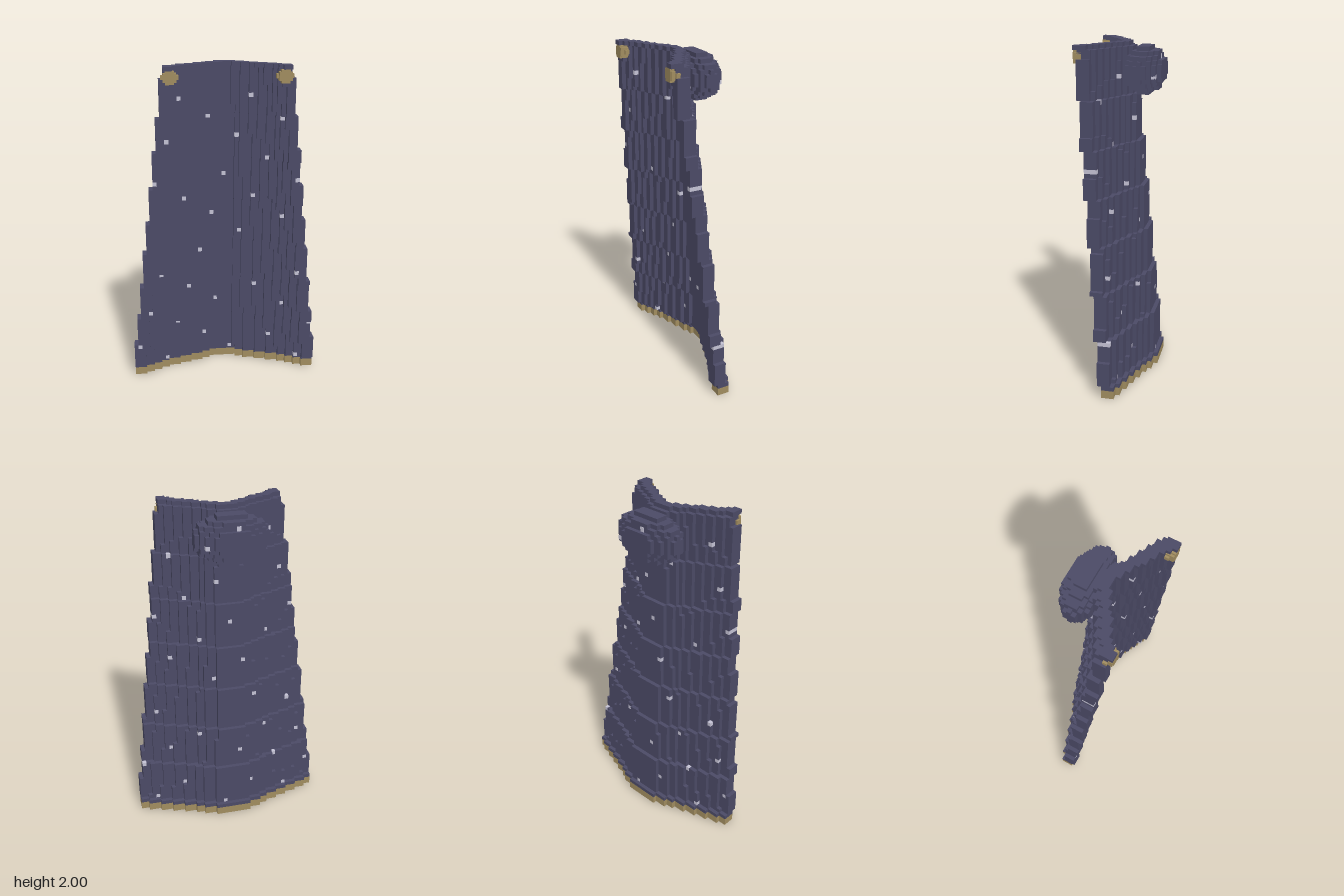
import * as THREE from 'three';
import { mergeGeometries } from 'three/addons/utils/BufferGeometryUtils.js';

const ROWS = 81, V = 2 / ROWS; // block size

// Fractions of the half width at which each face steps one block forward
const BACK_STEPS = [0.19, 0.32, 0.41, 0.53, 0.66, 0.79, 0.91];
const FRONT_STEPS = [0.13, 0.23, 0.37, 0.49, 0.61, 0.71, 0.79, 0.88];
const countSteps = (list, t) => list.filter((s) => t > s).length;

// Box between block coordinates; x runs between block edges
function block(x0, x1, y0, y1, z0, z1) {
  const g = new THREE.BoxGeometry((x1 - x0) * V, (y1 - y0) * V, (z1 - z0) * V);
  return g.translate((x0 + x1) * V / 2, (y0 + y1) * V / 2, (z0 + z1) * V / 2);
}

// Depth range of the cloth in one column and row, or null outside it
function clothSpan(x, y) {
  const a = Math.abs(x);
  if (a > 23 - Math.floor((y + 0.4) / 8.65)) return null;
  const t = a / (23.5 - y / 8.65);
  const back = -9 + Math.floor((y + 8) / 11); // leans forward going up
  return [back + countSteps(BACK_STEPS, t), back + 2 + countSteps(FRONT_STEPS, t)];
}

// Spangles on a slanted lattice: every 5 rows, shifted 7 of 17 columns
const GAPS = ['5,13', '1,28', '11,33', '-13,38', '-7,58'];
function isSpangle(x, y) {
  if (y % 5 !== 3 || y > 73 || GAPS.includes(`${x},${y}`)) return false;
  const shift = 2 - 7 * ((y - 3) / 5);
  return (((x - shift) % 17) + 17) % 17 === 0;
}

export function createModel() {
  const group = new THREE.Group();
  const material = (name, color) => {
    const m = new THREE.MeshStandardMaterial({ color });
    m.name = name;
    return m;
  };
  const cloth = material('indigo cloth', 0x4b4a66);
  const gold = material('old gold', 0xa08c5f);
  const silver = material('pale silver', 0xc4c2d4);
  const add = (name, parts, mat) => {
    const mesh = new THREE.Mesh(mergeGeometries(parts), mat);
    mesh.name = name;
    group.add(mesh);
  };

  // Cloak: vertical runs of equal depth and colour in every column
  const parts = { cloth: [], hem: [], spangle: [] };
  for (let x = -23; x <= 23; x++) {
    let start = 0, span = null, kind = '';
    for (let y = 0; y <= ROWS; y++) {
      const next = y < ROWS ? clothSpan(x, y) : null;
      const nextKind = y < 2 ? 'hem' : isSpangle(x, y) ? 'spangle' : 'cloth';
      if (String(next) === String(span) && nextKind === kind) continue;
      if (span) parts[kind].push(block(x - 0.5, x + 0.5, start, y, span[0], span[1]));
      start = y;
      span = next;
      kind = nextKind;
    }
  }

  // Rolled hood: a stepped ellipsoid behind the collar
  const hood = [];
  for (let x = -8; x <= 8; x++) {
    for (let z = -9; z < 0; z++) {
      const r = 1 - (x / 8.7) ** 2 - ((z + 5) / 4.7) ** 2;
      if (r <= 0) continue;
      const h = Math.round(5.5 * Math.sqrt(r) - 0.5);
      if (h >= 0) hood.push(block(x - 0.5, x + 0.5, 74 - h, 75 + h, z, z + 1));
    }
  }
  // Spangles set in the hood, just proud of it
  parts.spangle.push(block(-1.5, -0.5, 77, 78.1, -8.1, -7));
  parts.spangle.push(block(5.5, 6.5, 73, 74, -8.05, -7));

  // Clasps: small chunky crosses at the front corners
  const clasps = [];
  for (const side of [-1, 1]) {
    const c = side * 13;
    clasps.push(block(c - 1, c + 1, 77, 80, 6, 9));
    clasps.push(block(c - 1.5, c + 1.5, 77.5, 79.5, 7, 8.9));
    clasps.push(block(c - 2, c + 2, 78, 79, 7, 8));
  }

  add('cloak', parts.cloth, cloth);
  add('hem', parts.hem, gold);
  add('spangles', parts.spangle, silver);
  add('hood', hood, cloth);
  add('clasps', clasps, gold);
  return group;
}
